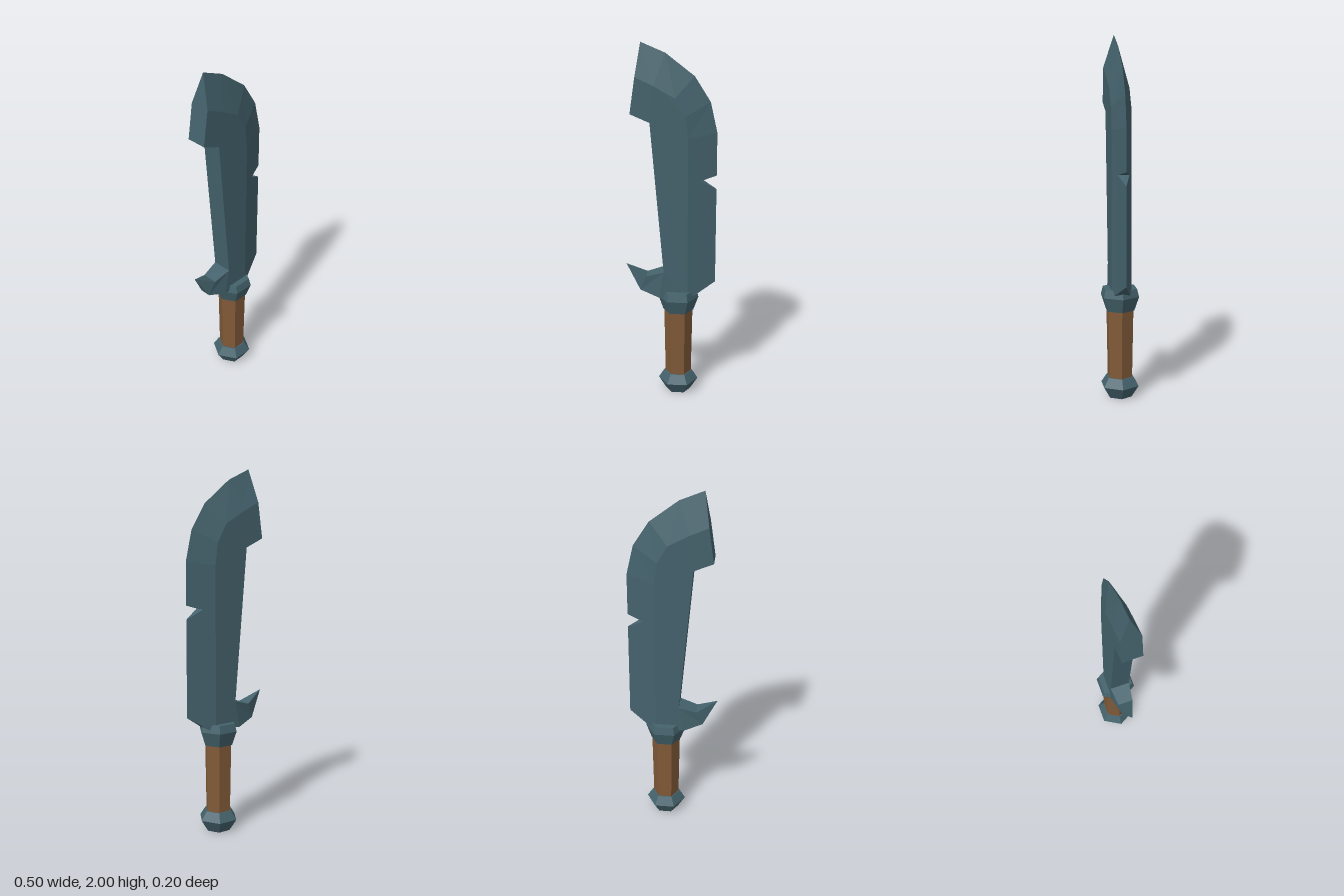
import * as THREE from 'three';

const steel = new THREE.MeshStandardMaterial({ color: 0x44626c, flatShading: true });
const wood = new THREE.MeshStandardMaterial({ color: 0x815a38, flatShading: true });

// Six-sided turned part from [radius, y] pairs, listed bottom to top
function hexPart(name, profile, material) {
  const points = profile.map(([r, y]) => new THREE.Vector2(r, y));
  const geometry = new THREE.LatheGeometry(points, 6, Math.PI / 6).toNonIndexed();
  geometry.computeVertexNormals();
  const mesh = new THREE.Mesh(geometry, material);
  mesh.name = name;
  mesh.position.x = 0.042;
  return mesh;
}

// Blade points: x, y, half thickness. The outline runs clockwise from the tip.
const outline = [
  [-0.16, 2, 0], [-0.03, 1.945, 0], [0.125, 1.825, 0], [0.21, 1.69, 0], [0.247, 1.525, 0],  // 0-4 curved edge
  [0.247, 1.29, 0], [0.16, 1.265, 0.031], [0.247, 1.215, 0],                                // 5-7 notch
  [0.247, 0.675, 0], [0.13, 0.6, 0.042], [0.095, 0.597, 0.055], [-0.065, 0.59, 0.055],      // 8-11 heel
  [-0.17, 0.625, 0.03], [-0.25, 0.77, 0], [-0.135, 0.71, 0.043],                            // 12-14 hook
  [-0.037, 0.74, 0.055], [-0.11, 1.585, 0.055], [-0.215, 1.63, 0.055], [-0.187, 1.825, 0.055], // 15-18 spine
];
// 19-22: ridge where the flat meets the bevel
const ridge = [[-0.09, 1.78, 0.055], [0.025, 1.716, 0.055], [0.08, 1.62, 0.055], [0.095, 1.5, 0.055]];
const facets = [
  [18, 0, 1, 19], [19, 1, 2, 20], [20, 2, 3, 21], [21, 3, 4, 22], // curved bevel
  [22, 4, 5, 6, 7, 8, 9, 10],                                     // straight bevel
  [18, 19, 20, 21, 22, 10, 11, 15, 16, 17],                       // flat
  [11, 12, 13, 14, 15],                                           // hook
];

function createBlade() {
  const points = [...outline, ...ridge];
  const positions = [];
  const add = (...corners) => corners.forEach((c) => positions.push(...c));
  const back = ([x, y, z]) => [x, y, -z];

  // Both sides, mirrored in z
  for (const facet of facets) {
    const contour = facet.map((i) => new THREE.Vector2(points[i][0], points[i][1]));
    for (const triangle of THREE.ShapeUtils.triangulateShape(contour, [])) {
      let [a, b, c] = triangle.map((i) => points[facet[i]]);
      const area = (b[0] - a[0]) * (c[1] - a[1]) - (c[0] - a[0]) * (b[1] - a[1]);
      if (area < 0) [b, c] = [c, b];
      add(a, b, c);
      add(back(a), back(c), back(b));
    }
  }
  // Rim joining the two sides wherever the outline has thickness
  outline.forEach((a, i) => {
    const b = outline[(i + 1) % outline.length];
    if (a[2] > 0) add(a, b, back(a));
    if (b[2] > 0) add(b, back(b), back(a));
  });

  const geometry = new THREE.BufferGeometry();
  geometry.setAttribute('position', new THREE.Float32BufferAttribute(positions, 3));
  geometry.computeVertexNormals();
  const mesh = new THREE.Mesh(geometry, steel);
  mesh.name = 'blade';
  return mesh;
}

export function createModel() {
  const model = new THREE.Group();
  model.name = 'machete';
  model.add(
    createBlade(),
    hexPart('guard', [[0, 0.5], [0.085, 0.5], [0.113, 0.58], [0.101, 0.625], [0, 0.625]], steel),
    hexPart('grip', [[0.073, 0.11], [0.08, 0.505]], wood),
    hexPart('pommel', [[0, 0], [0.07, 0], [0.112, 0.067], [0.08, 0.117], [0, 0.117]], steel),
  );
  return model;
}
